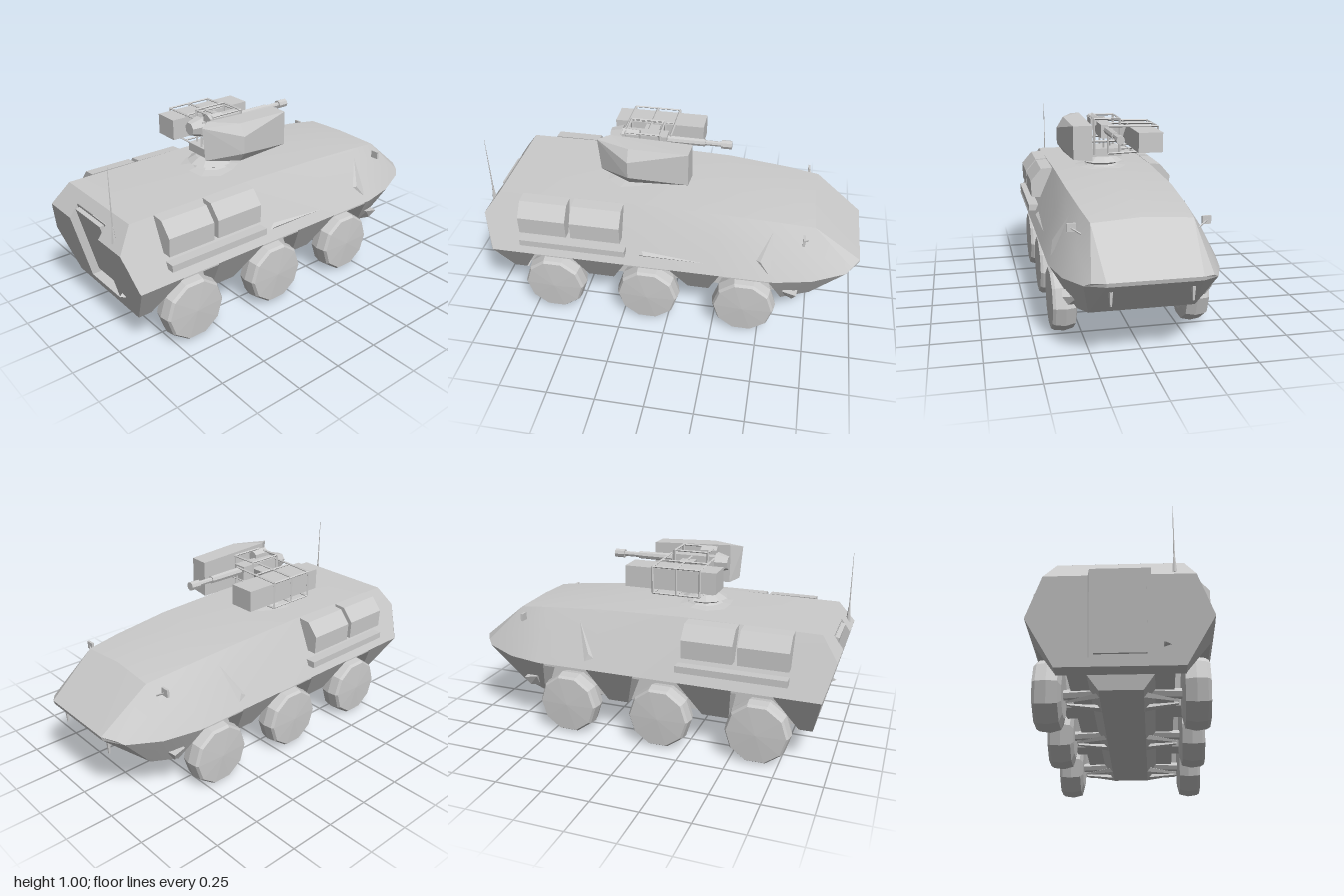
import * as THREE from 'three';
import { toCreasedNormals } from 'three/addons/utils/BufferGeometryUtils.js';
import { ConvexGeometry } from 'three/addons/geometries/ConvexGeometry.js';

const flat = new THREE.MeshStandardMaterial({ color: 0xcccccc, flatShading: true, side: THREE.DoubleSide });
const smooth = new THREE.MeshStandardMaterial({ color: 0xcccccc, side: THREE.DoubleSide });
const V = (p) => new THREE.Vector3(...p);

export function createModel() {
  const model = new THREE.Group();

  function add(name, geometry, parent = model, material = flat) {
    const mesh = new THREE.Mesh(geometry, material);
    mesh.name = name;
    parent.add(mesh);
    return mesh;
  }
  function group(name) {
    const g = new THREE.Group();
    g.name = name;
    model.add(g);
    return g;
  }
  // box given by its limits on each axis
  function box(name, x0, x1, y0, y1, z0, z1, parent) {
    const m = add(name, new THREE.BoxGeometry(x1 - x0, y1 - y0, z1 - z0), parent);
    m.position.set((x0 + x1) / 2, (y0 + y1) / 2, (z0 + z1) / 2);
    return m;
  }
  // straight rod from a to b
  function rod(name, a, b, r0, r1, sides, parent) {
    const d = V(b).sub(V(a));
    const m = add(name, new THREE.CylinderGeometry(r1, r0, d.length(), sides), parent);
    m.position.copy(V(a).addScaledVector(d, 0.5));
    m.quaternion.setFromUnitVectors(new THREE.Vector3(0, 1, 0), d.normalize());
    return m;
  }
  const solid = (name, pts, parent) => add(name, new ConvexGeometry(pts.map(V)), parent);
  // convex polygons on the +x side, mirrored to -x
  function panels(name, polys, parent) {
    const pos = [];
    for (const poly of polys)
      for (let i = 1; i < poly.length - 1; i++) {
        const [a, b, c] = [poly[0], poly[i], poly[i + 1]];
        pos.push(...a, ...b, ...c);
        for (const p of [a, c, b]) pos.push(-p[0], p[1], p[2]);
      }
    const g = new THREE.BufferGeometry();
    g.setAttribute('position', new THREE.Float32BufferAttribute(pos, 3));
    g.computeVertexNormals();
    return add(name, toCreasedNormals(g, 0.3), parent, smooth);
  }

  // ---- hull: stations from rear to nose, each centre, roof edge, shoulder, belt
  const hull = group('hull');
  const stations = [
    [[0, 0.70, 0.915], [0.29, 0.70, 0.915], [0.34, 0.585, 1.0], [0.42, 0.40, 0.95]],
    [[0, 0.717, 0.2], [0.285, 0.708, 0.2], [0.34, 0.585, 0.2], [0.42, 0.40, 0.2]],
    [[0, 0.706, -0.25], [0.28, 0.695, -0.25], [0.34, 0.575, -0.25], [0.42, 0.40, -0.25]],
    [[0, 0.685, -0.57], [0.262, 0.67, -0.57], [0.335, 0.56, -0.57], [0.42, 0.40, -0.57]],
    [[0, 0.663, -0.74], [0.245, 0.65, -0.75], [0.312, 0.53, -0.76], [0.378, 0.40, -0.76]],
    [[0, 0.45, -1.0], [0.22, 0.45, -1.0], [0.28, 0.44, -0.96], [0.31, 0.42, -0.93]],
  ];
  const upper = [];
  for (let i = 0; i < 5; i++)
    for (let j = 0; j < 3; j++)
      upper.push([stations[i][j], stations[i][j + 1], stations[i + 1][j + 1], stations[i + 1][j]]);
  panels('upperHull', upper, hull);

  // lower bow
  const belt = [[0.42, 0.40, -0.54], stations[4][3], stations[5][3]];
  const keel = [[0.29, 0.185, -0.61], [0.26, 0.22, -0.76], [0.22, 0.43, -0.995]];
  const bow = [[belt[0], keel[0], [0.24, 0.185, -0.61], [0.24, 0.40, -0.54]],
    [belt[2], keel[2], stations[5][1], stations[5][2]],
    [stations[5][1], keel[2], [0, 0.43, -0.995], [0, 0.45, -1]]];
  for (let i = 0; i < 2; i++) {
    const [a, b] = [keel[i], keel[i + 1]];
    bow.push([belt[i], a, b, belt[i + 1]].reverse(), [a, [0, a[1], a[2]], [0, b[1], b[2]], b]);
  }
  panels('lowerBow', bow, hull);

  // rear plate around the door recess
  const rear = (y) => (y < 0.585 ? 1 - 0.25 * (0.585 - y) : 1 - 0.74 * (y - 0.585));
  const P = (x, y) => [x, y, rear(y)];
  const R = (x, y) => [x, y, 1 - 0.25 * (0.585 - y) - 0.06];
  panels('rearPlate', [
    [P(0.14, 0.585), P(0.14, 0.185), P(0.29, 0.185), P(0.42, 0.40), P(0.34, 0.585)],
    [P(0.14, 0.70), P(0.14, 0.585), P(0.34, 0.585), P(0.29, 0.70)],
    [P(0, 0.70), P(0, 0.65), P(0.14, 0.65), P(0.14, 0.70)],
    [P(0, 0.225), P(0, 0.185), P(0.14, 0.185), P(0.14, 0.225)],
    [P(0.14, 0.225), P(0.14, 0.585), P(0.14, 0.65), R(0.14, 0.225)],
    [R(0, 0.65), R(0, 0.225), R(0.14, 0.225), R(0.14, 0.65)],
    [P(0, 0.225), P(0.14, 0.225), R(0.14, 0.225), R(0, 0.225)],
    [[0, 0.185, 0.9], [0, 0.185, 0.82], [0.29, 0.185, 0.82], [0.29, 0.185, 0.9]],
  ], hull);
  const door = add('rearDoor', new THREE.BoxGeometry(0.24, 0.385, 0.025), hull);
  door.position.set(0, 0.45, R(0, 0.45)[2] + 0.01);
  door.rotation.x = Math.atan(0.25);
  solid('towHook', [[0.19, 0.265, 0.92], [0.19, 0.29, 0.92], [0.24, 0.275, 0.91], [0.2, 0.277, 0.945]], hull);

  // core, wheel-arch ceiling and belly
  box('hullCore', -0.24, 0.24, 0.185, 0.39, -0.61, 0.83, hull);
  box('archCeiling', -0.41, 0.41, 0.385, 0.399, -0.54, 0.87, hull);
  const belly = [];
  for (const s of [-1, 1])
    belly.push([s * 0.155, 0.19, 0.82], [s * 0.155, 0.19, -0.62], [s * 0.1, 0.118, 0.8], [s * 0.1, 0.118, -0.5]);
  solid('belly', belly, hull);

  // ---- sponsons, wheels and suspension
  const sponsons = [[0.95, 0.715, 0.90, 0.83], [0.505, 0.222, 0.465, 0.32], [-0.02, -0.285, -0.10, -0.215]];
  const wheelShape = [[0, 0.275], [0.11, 0.272], [0.16, 0.285], [0.172, 0.335], [0.165, 0.385], [0.155, 0.40], [0, 0.408]]
    .map((p) => new THREE.Vector2(...p));
  const running = group('runningGear');
  for (const s of [-1, 1]) {
    for (const [t0, t1, b0, b1] of sponsons) {
      const pts = [];
      for (const [t, b] of [[t0, b0], [t1, b1]])
        pts.push([s * 0.42, 0.40, t], [s * 0.23, 0.40, t], [s * 0.29, 0.185, b], [s * 0.23, 0.185, b]);
      solid('sponson', pts, hull);
    }
    for (const z of [0.635, 0.11, -0.415]) {
      const wheel = add('wheel', new THREE.LatheGeometry(wheelShape, 10), running);
      wheel.rotation.z = -s * Math.PI / 2;
      wheel.position.set(0, 0.171, z);
      rod('axle', [s * 0.1, 0.18, z], [s * 0.3, 0.171, z], 0.025, 0.025, 6, running);
      for (const d of [-0.08, 0.08])
        rod('suspensionArm', [s * 0.09, 0.135, z + d], [s * 0.26, 0.13, z + d * 0.2], 0.018, 0.006, 4, running);
    }

    // stowage bins and side rail
    for (const [z0, z1] of [[0.53, 0.785], [0.24, 0.505]]) {
      const pts = [];
      for (const z of [z0, z1])
        pts.push([s * 0.34, 0.535, z], [s * 0.412, 0.535, z], [s * 0.415, 0.63, z], [s * 0.355, 0.70, z], [s * 0.29, 0.705, z]);
      solid('stowageBin', pts);
    }
    const [r0, r1] = s > 0 ? [0.37, 0.432] : [-0.432, -0.37];
    box('sideRail', r0, r1, 0.462, 0.497, 0.215, 0.785);

    // mirror, lamp and bow hook
    rod('mirrorArm', [s * 0.28, 0.59, -0.72], [s * 0.33, 0.62, -0.70], 0.004, 0.004, 4);
    box('mirror', s * 0.325 - 0.022, s * 0.325 + 0.022, 0.60, 0.64, -0.704, -0.692);
    solid('headlamp', [[s * 0.29, 0.29, -0.61], [s * 0.36, 0.29, -0.62], [s * 0.37, 0.28, -0.69], [s * 0.29, 0.28, -0.70],
      [s * 0.30, 0.215, -0.63], [s * 0.34, 0.23, -0.67]]);
    rod('bowHook', [s * 0.19, 0.39, -0.945], [s * 0.19, 0.32, -0.945], 0.012, 0.006, 5);
  }

  // side fittings lying on the sloping upper flank
  const flank = (y) => 0.42 - 0.43 * (y - 0.4);
  solid('sideVent', [[flank(0.455), 0.455, 0.16], [flank(0.48), 0.48, 0.13], [flank(0.455), 0.455, -0.2],
    [flank(0.46) + 0.01, 0.465, 0.12]]);
  solid('sideFin', [[-flank(0.64), 0.64, -0.36], [-flank(0.44), 0.44, -0.30], [-flank(0.46), 0.46, -0.25],
    [-flank(0.5) - 0.015, 0.48, -0.28]]);
  solid('sideHatch', [[flank(0.64) - 0.01, 0.64, -0.54], [flank(0.5), 0.5, -0.47], [flank(0.42) - 0.005, 0.42, -0.55],
    [flank(0.5) + 0.01, 0.5, -0.49]]);

  // ---- antenna
  rod('antennaBase', [0.245, 0.605, 0.975], [0.245, 0.69, 0.975], 0.013, 0.005, 6);
  rod('antenna', [0.245, 0.69, 0.975], [0.245, 0.985, 0.975], 0.004, 0.001, 5);

  // ---- weapon station
  const turret = group('weaponStation');
  const ring = [[0.2, 0.705], [0.1, 0.718], [0.085, 0.727], [0.122, 0.743], [0.08, 0.767], [0.05, 0.775], [0.05, 0.79], [0, 0.79]]
    .map((p) => new THREE.Vector2(...p));
  add('turretRing', new THREE.LatheGeometry(ring, 10), turret).position.z = 0.24;
  box('cradleBase', -0.095, 0.09, 0.78, 0.825, 0.13, 0.31, turret);
  solid('sightHousing', [[0.112, 0.80, -0.09], [0.112, 0.99, -0.09], [0.215, 0.81, -0.085], [0.215, 0.99, -0.085],
    [0.262, 0.85, 0.22], [0.262, 0.94, 0.22], [0.225, 0.80, 0.22], [0.225, 1.0, 0.22],
    [0.115, 0.80, 0.34], [0.115, 1.005, 0.34], [0.155, 0.82, 0.385], [0.155, 0.995, 0.40]], turret);
  box('ammunitionBox', -0.272, -0.137, 0.838, 0.947, -0.11, 0.375, turret);

  // tubular cage around the ammunition box
  for (const z of [0.045, 0.17, 0.295]) {
    const c = [[-0.285, 0.82, z], [-0.285, 0.957, z], [0, 0.965, z], [0, 0.812, z]];
    for (let i = 0; i < 3; i++) rod('cageHoop', c[i], c[(i + 1) % 4], 0.006, 0.006, 4, turret);
    rod('cageHoop', c[3], c[0], 0.006, 0.006, 4, turret);
  }
  for (const [x, y] of [[-0.285, 0.82], [-0.285, 0.957], [-0.137, 0.957], [-0.137, 0.82]])
    rod('cageRail', [x, y, 0.045], [x, y, 0.295], 0.005, 0.005, 4, turret);

  // gun cradle frames
  for (const z of [0.09, 0.27]) {
    for (const x of [-0.075, 0.07]) rod('cradlePost', [x, 0.8, z], [x, 1.0, z], 0.007, 0.007, 4, turret);
    rod('cradleTop', [-0.075, 1.0, z], [0.07, 1.0, z], 0.006, 0.006, 4, turret);
    rod('cradleCross', [-0.075, 0.875, z], [0.13, 0.875, z], 0.007, 0.007, 4, turret);
  }
  for (const x of [-0.075, 0.07]) rod('cradleRail', [x, 1.0, 0.09], [x, 1.0, 0.27], 0.005, 0.005, 4, turret);
  for (const x of [-0.045, 0.045]) rod('cradleStrut', [x, 0.765, 0.25], [x, 0.9, 0.2], 0.006, 0.006, 4, turret);

  // gun
  box('gunReceiver', -0.035, 0.035, 0.895, 0.97, 0.06, 0.31, turret);
  rod('gunBreech', [-0.005, 0.937, 0.30], [-0.005, 0.937, 0.365], 0.055, 0.035, 7, turret);
  rod('spotlight', [0.045, 0.975, 0.20], [0.045, 0.975, 0.29], 0.03, 0.035, 6, turret);
  rod('barrelJacket', [0, 0.94, 0.06], [0, 0.94, -0.14], 0.022, 0.02, 8, turret);
  rod('barrel', [0, 0.94, -0.1], [0, 0.94, -0.24], 0.014, 0.014, 8, turret);
  rod('muzzle', [0, 0.94, -0.225], [0, 0.94, -0.28], 0.023, 0.023, 8, turret);
  solid('feedChute', [[-0.12, 0.95, 0.12], [-0.12, 0.95, 0.2], [-0.1, 0.88, 0.13], [-0.1, 0.88, 0.19],
    [-0.03, 0.95, 0.12], [-0.03, 0.95, 0.2], [-0.03, 0.9, 0.13], [-0.03, 0.9, 0.19]], turret);

  return model;
}
